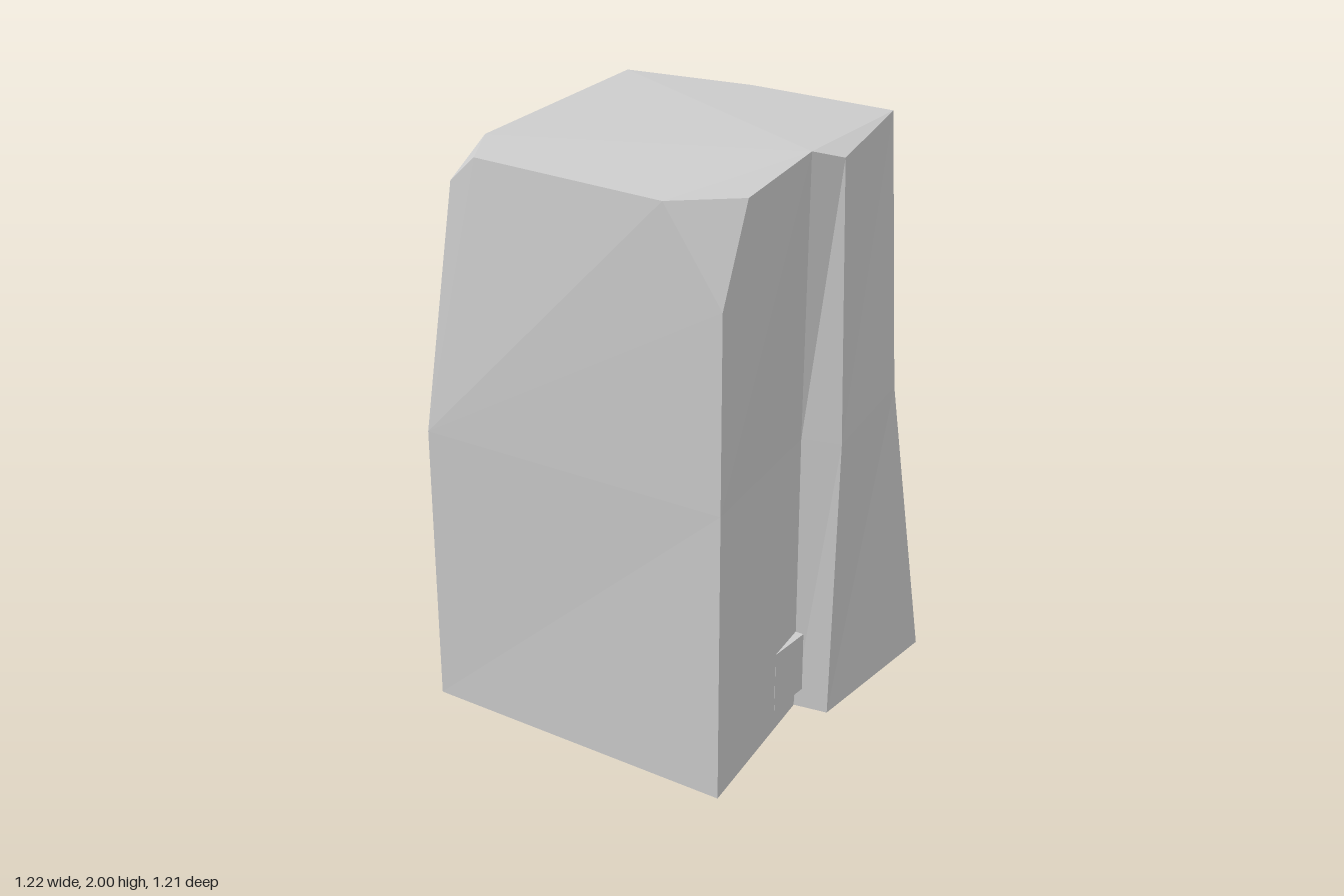
import * as THREE from 'three';

// Flat-faced mesh from polygons; each polygon is fanned from its first corner.
function facetMesh(name, faces) {
  const pos = [];
  for (const f of faces)
    for (let i = 1; i < f.length - 1; i++) pos.push(...f[0], ...f[i], ...f[i + 1]);
  const geo = new THREE.BufferGeometry();
  geo.setAttribute('position', new THREE.Float32BufferAttribute(pos, 3));
  geo.computeVertexNormals();
  const mesh = new THREE.Mesh(geo, new THREE.MeshStandardMaterial({ color: 0xcccccc, flatShading: true }));
  mesh.name = name;
  return mesh;
}

// Horizontal cross-section from [x, z] pairs
const ring = (y, xz) => xz.map(([x, z]) => [x, y, z]);

// Side quads between two rings
const band = (low, high) => low.map((p, i) => {
  const j = (i + 1) % low.length;
  return [p, low[j], high[j], high[i]];
});

const prism = (low, high) => [...band(low, high), [...low].reverse(), high];

export function createModel() {
  const group = new THREE.Group();
  group.name = 'notchedBlock';

  // Body rings: front left, front right, notch inner, notch outer, back right, back left
  const b = ring(0.03, [[-0.58, 0.58], [0.535, 0.58], [0.458, -0.015], [0.575, -0.035], [0.61, -0.605], [-0.58, -0.545]]);
  const m = ring(1.03, [[-0.56, 0.603], [0.535, 0.578], [0.462, -0.01], [0.59, -0.045], [0.515, -0.53], [-0.613, -0.555]]);

  // Top corners of the notch and back right
  const inner = [0.495, 2, 0.03], outer = [0.57, 1.975, -0.04], back = [0.46, 1.975, -0.54];
  // Chipped corners: lowest point, then the two points on the top
  const fl = [-0.475, 1.87, 0.535], flFront = [-0.38, 1.96, 0.535], flSide = [-0.475, 1.97, 0.36];
  const fr = [0.535, 1.68, 0.577], frFront = [0.33, 1.973, 0.577], frSide = [0.525, 1.977, 0.43];
  const bl = [-0.52, 1.91, -0.545], blBack = [-0.07, 1.972, -0.54], blSide = [-0.52, 1.97, -0.47];

  group.add(facetMesh('body', [
    [b[2], b[1], b[0], b[5], b[4], b[3]],
    ...band(b, m),
    // upper walls
    [m[0], m[1], fr, frFront, flFront, fl],
    [m[1], m[2], inner, frSide, fr],
    [m[2], m[3], outer, inner],
    [m[3], m[4], back, outer],
    [m[4], m[5], bl, blBack, back],
    [m[5], m[0], fl, flSide, blSide, bl],
    // chipped corners
    [fl, flFront, flSide],
    [fr, frSide, frFront],
    [bl, blSide, blBack],
    // top
    [inner, outer, back, blBack, blSide, flSide, flFront, frFront, frSide],
  ]));

  // Small wedge on the right wall beside the notch
  const wedge = [[0.44, 0.15], [0.481, 0.15], [0.489, -0.013], [0.44, -0.013]];
  group.add(facetMesh('sideWedge', prism(ring(0.105, wedge), ring(0.318, wedge))));

  // Shallow tapered peg underneath
  group.add(facetMesh('bottomPeg', prism(
    ring(0.005 - 0.005, [[-0.145, 0.13], [0.09, 0.105], [0.085, -0.1], [-0.14, -0.1]]),
    ring(0.032, [[-0.16, 0.155], [0.11, 0.125], [0.105, -0.115], [-0.158, -0.115]]),
  )));

  return group;
}
